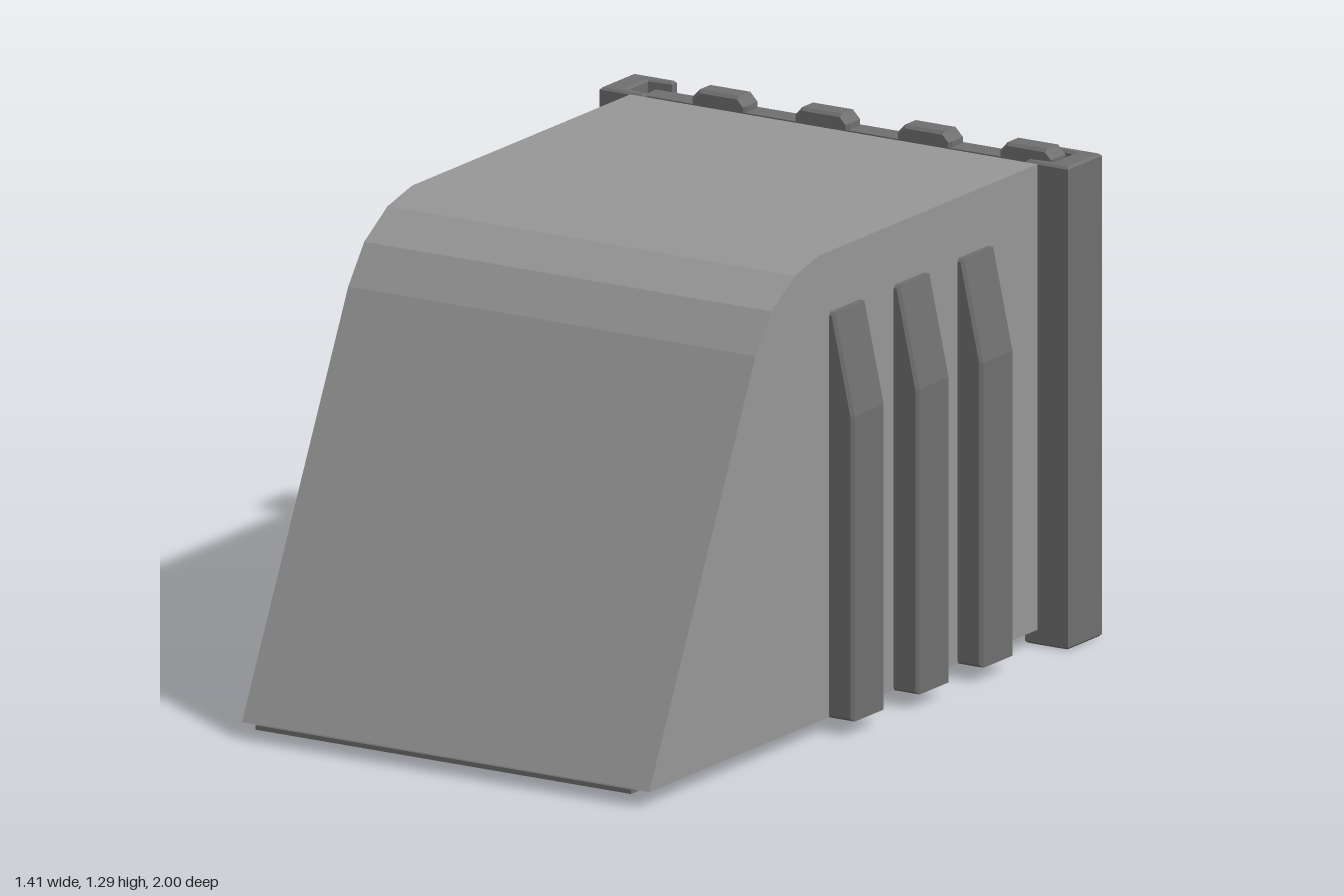
import * as THREE from 'three';

const shellMat = new THREE.MeshStandardMaterial({ color: 0x969696 });
shellMat.name = 'light grey shell';
const trimMat = new THREE.MeshStandardMaterial({ color: 0x6e6e6e });
trimMat.name = 'dark grey trim';

// Extrude an outline, centred in depth, with a small chamfer kept inside the outline
function extrude(points, depth, chamfer = 0) {
  const shape = new THREE.Shape(points.map(([a, b]) => new THREE.Vector2(a, b)));
  const geo = new THREE.ExtrudeGeometry(shape, {
    depth: depth - 2 * chamfer, bevelEnabled: chamfer > 0, bevelSegments: 1,
    bevelSize: chamfer, bevelThickness: chamfer, bevelOffset: -chamfer,
  });
  return geo.translate(0, 0, -(depth - 2 * chamfer) / 2);
}

// Outline given as (z, y), running across x
const extrudeAcross = (points, width, chamfer) => extrude(points, width, chamfer).rotateY(-Math.PI / 2);

function add(group, name, geo, mat) {
  const mesh = new THREE.Mesh(geo, mat);
  mesh.name = name;
  group.add(mesh);
  return mesh;
}

export function createModel() {
  const model = new THREE.Group();
  model.name = 'hopper';

  // Main shell with sloped front and faceted shoulder
  add(model, 'shell', extrudeAcross([
    [-0.84, 0.04], [0.985, 0.04], [0.485, 1.07], [0.41, 1.17],
    [0.30, 1.238], [0.185, 1.265], [-0.84, 1.265],
  ], 1.226), shellMat);

  // Inset floor plate
  add(model, 'floorPlate', new THREE.BoxGeometry(1.13, 0.012, 1.82).translate(0, 0.036, 0.085), trimMat);

  for (const s of [-1, 1]) {
    const side = s > 0 ? 'left' : 'right';

    // Side ribs, tapering into the wall at the top
    [0.065, -0.24, -0.54].forEach((z, i) => {
      const rib = extrude([
        [0.60 * s, 0.037], [0.686 * s, 0.037], [0.686 * s, 0.84], [0.628 * s, 1.105], [0.60 * s, 1.105],
      ], 0.152, 0.008);
      add(model, `${side}Rib${i + 1}`, rib, trimMat).position.z = z;
    });

    // C-shaped guide post, open towards the gate; outline is (x, -z)
    const post = extrude([
      [0.705, 0.84], [0.705, 1.0], [0.575, 1.0], [0.575, 0.978], [0.642, 0.97],
      [0.642, 0.87], [0.575, 0.862], [0.575, 0.84],
    ].map(([x, z]) => [x * s, z]), 1.27, 0.006);
    add(model, `${side}GuidePost`, post.rotateX(-Math.PI / 2).translate(0, 0.635, 0), trimMat);
  }

  // Sliding gate with two shallow horizontal grooves on its outer face
  const gate = new THREE.Group();
  gate.name = 'gate';
  model.add(gate);
  const outline = [[-0.89, 0.03], [-0.89, 1.252], [-0.955, 1.252]];
  for (const y of [0.96, 0.36]) {
    outline.push([-0.955, y + 0.022], [-0.948, y + 0.014], [-0.948, y - 0.014], [-0.955, y - 0.022]);
  }
  outline.push([-0.955, 0.03]);
  add(gate, 'gatePanel', extrudeAcross(outline, 1.24, 0.004).translate(0.008, 0, 0), trimMat);

  // Raised teeth along the gate's top edge
  for (let i = 0; i < 4; i++) {
    const tooth = extrude([
      [-0.082, 1.24], [0.082, 1.24], [0.082, 1.268], [0.06, 1.291], [-0.06, 1.291], [-0.082, 1.268],
    ], 0.065, 0.008);
    add(gate, `gateTooth${i + 1}`, tooth, trimMat).position.set(-0.38 + i * 0.309, 0, -0.9225);
  }

  return model;
}
